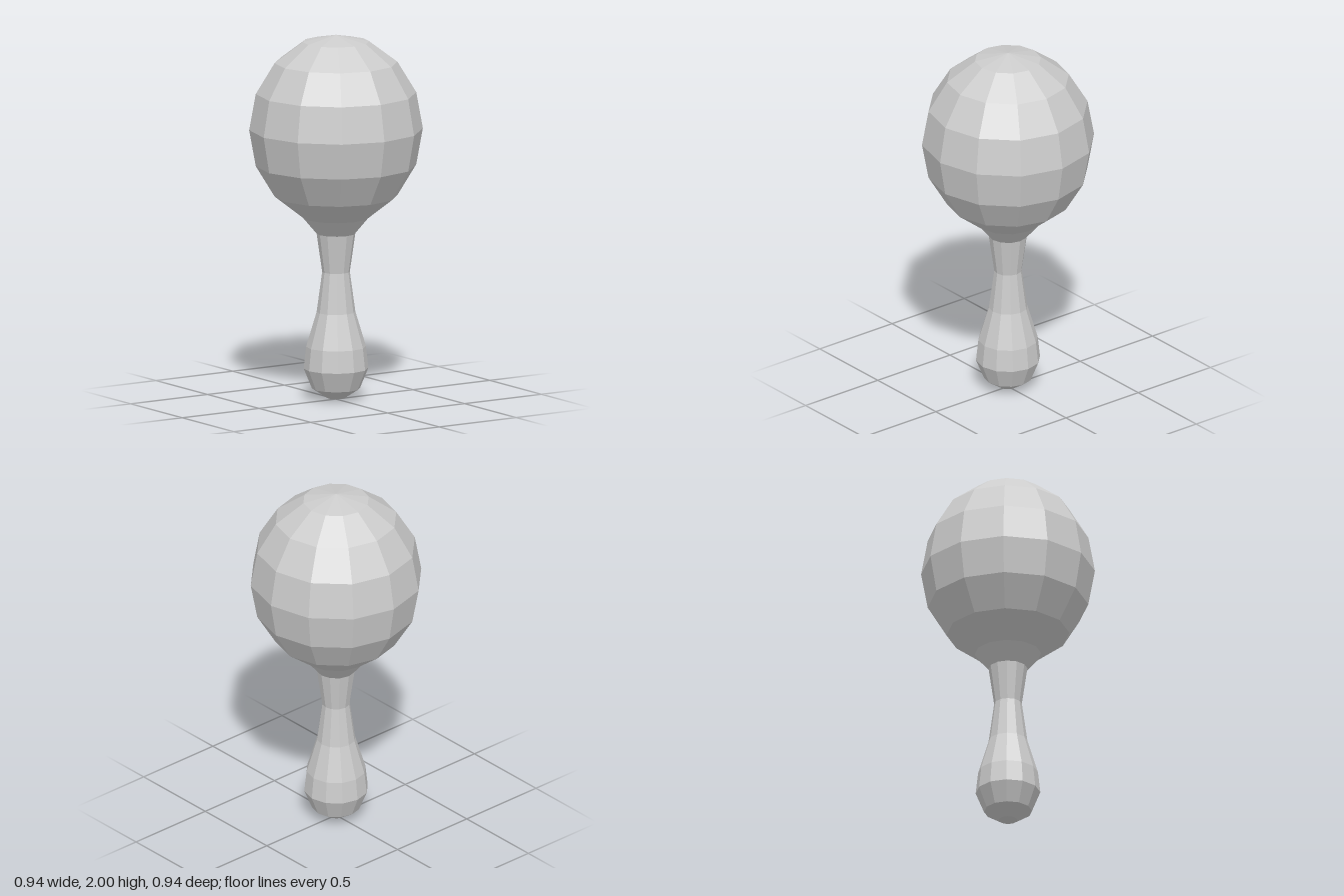
import * as THREE from 'three';

const SIDES = 12;
const material = new THREE.MeshStandardMaterial({ color: 0xcccccc, flatShading: true });

// Turned part: profile of [radius, height] from bottom to top
function turned(name, profile) {
  const points = profile.map(([r, y]) => new THREE.Vector2(r, y));
  const mesh = new THREE.Mesh(new THREE.LatheGeometry(points, SIDES), material);
  mesh.name = name;
  return mesh;
}

export function createModel() {
  const model = new THREE.Group();
  model.name = 'maraca';
  const neckRing = [0.105, 0.91];

  // Handle: rounded grip narrowing to a waist, then flaring at the neck
  model.add(turned('handle', [
    [0, 0], [0.05, 0.008], [0.13, 0.06], [0.175, 0.17], [0.162, 0.29],
    [0.105, 0.48], [0.075, 0.70], neckRing,
  ]));

  // Head: faceted ball blending into the neck
  const ball = [];
  const radius = 0.47, centreY = 1.482, tilt = Math.PI / 8;
  for (let i = 1; i <= 8; i++) {
    const a = i * tilt;
    ball.push([i === 8 ? 0 : radius * Math.sin(a), centreY - (2 - centreY) * Math.cos(a)]);
  }
  // Rings sit slightly above a true ellipse at the top and bottom
  ball[0][1] = 0.998;
  ball[6][1] = 1.962;
  model.add(turned('head', [neckRing, ...ball]));

  return model;
}
